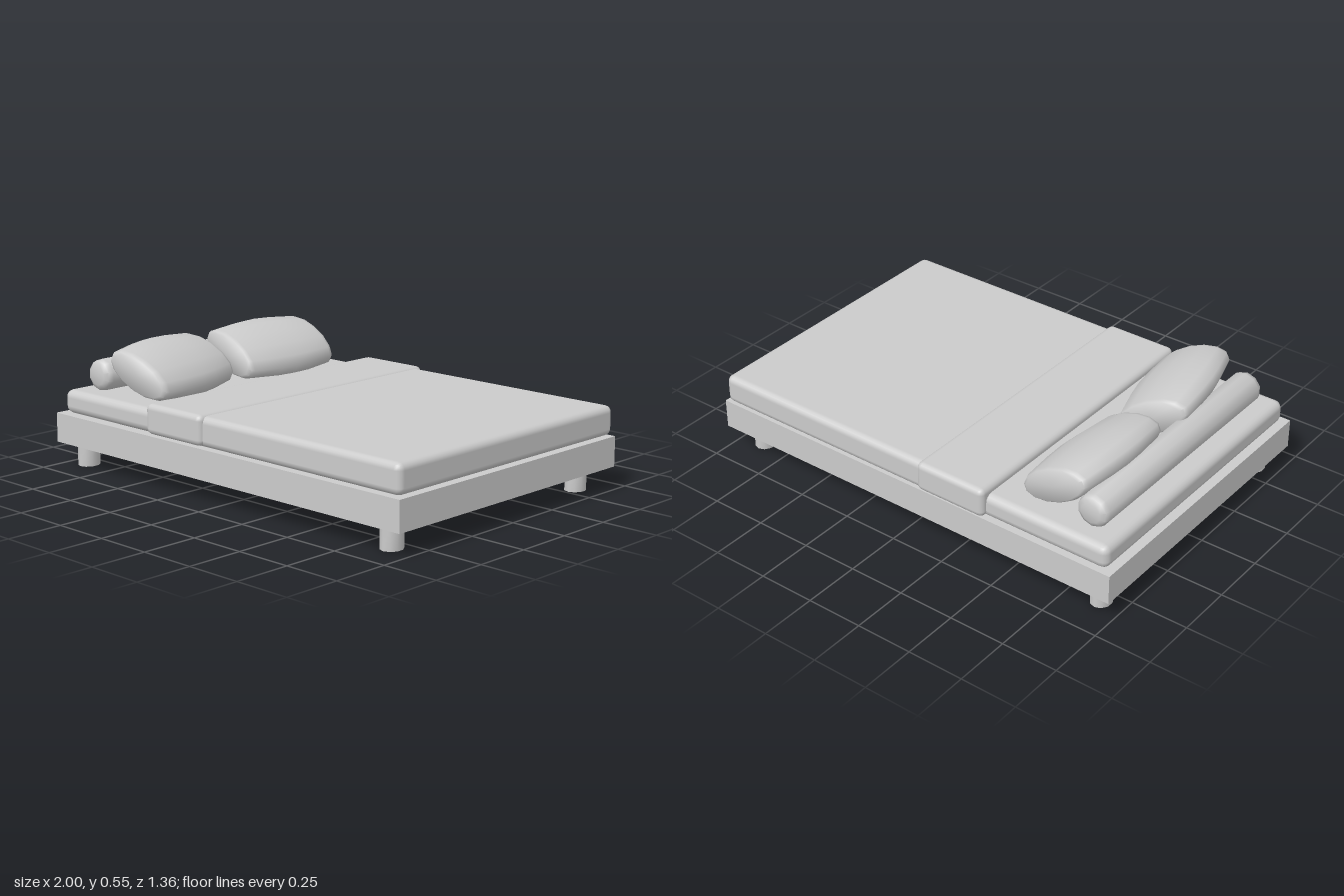
import * as THREE from 'three';
import { RoundedBoxGeometry } from 'three/addons/geometries/RoundedBoxGeometry.js';
import { toCreasedNormals } from 'three/addons/utils/BufferGeometryUtils.js';

const material = new THREE.MeshStandardMaterial({ color: 0xcccccc });

export function createModel() {
  const bed = new THREE.Group();
  bed.name = 'bed';

  function add(name, geometry, x, y, z) {
    const mesh = new THREE.Mesh(geometry, material);
    mesh.name = name;
    mesh.position.set(x, y, z);
    bed.add(mesh);
    return mesh;
  }

  // Soft slab given by its limits on each axis
  function slab(name, [x0, x1], [y0, y1], [z0, z1], radius) {
    const geometry = new RoundedBoxGeometry(x1 - x0, y1 - y0, z1 - z0, 2, radius);
    add(name, geometry, (x0 + x1) / 2, (y0 + y1) / 2, (z0 + z1) / 2);
  }

  // Lathed body lying along z, with profile points [radius, position]
  function lying(profile, sides, sx, sy, halfLength) {
    const points = profile.map(([r, t]) => new THREE.Vector2(r, t));
    const geometry = new THREE.LatheGeometry(points, sides, Math.PI / sides);
    geometry.rotateX(Math.PI / 2);
    geometry.rotateZ(Math.PI / 2);
    geometry.scale(sx, sy, halfLength);
    return toCreasedNormals(geometry, 0.9);
  }

  // Base and legs
  add('frame', new THREE.BoxGeometry(2, 0.13, 1.335), 0, 0.165, 0);
  const legShape = toCreasedNormals(new THREE.CylinderGeometry(0.048, 0.048, 0.11, 10), 0.7);
  legShape.scale(0.92, 1, 1.05);
  for (const x of [-0.898, 0.882]) {
    for (const z of [-0.562, 0.577]) add('leg', legShape, x, 0.055, z);
  }

  // Bedding
  slab('mattress', [-0.975, 0.975], [0.23, 0.335], [-0.655, 0.645], 0.035);
  slab('blanket', [-0.38, 0.988], [0.232, 0.36], [-0.668, 0.657], 0.03);
  slab('blanketFold', [-0.405, -0.07], [0.237, 0.368], [-0.683, 0.675], 0.026);

  // Bolster at the head end
  const bolsterProfile = [[0, -1], [0.6, -1], [0.9, -0.98], [1, -0.94],
    [1, 0.94], [0.9, 0.98], [0.6, 1], [0, 1]];
  add('bolster', lying(bolsterProfile, 10, 0.073, 0.071, 0.57), -0.842, 0.401, -0.005);

  // Pillows leaning on the bolster
  const pillowProfile = [[0, -1], [0.74, -1], [0.82, -0.97], [0.87, -0.9], [0.97, -0.35], [1, 0],
    [0.97, 0.35], [0.87, 0.9], [0.82, 0.97], [0.74, 1], [0, 1]];
  function pillow(name, x, y, z, halfLength, yaw) {
    const geometry = lying(pillowProfile, 14, 0.192, 0.087, halfLength);
    geometry.rotateZ(-0.45);
    add(name, geometry, x, y, z).rotation.y = yaw;
  }
  pillow('leftPillow', -0.642, 0.434, 0.306, 0.252, 0.2);
  pillow('rightPillow', -0.657, 0.431, -0.297, 0.26, -0.02);

  return bed;
}
